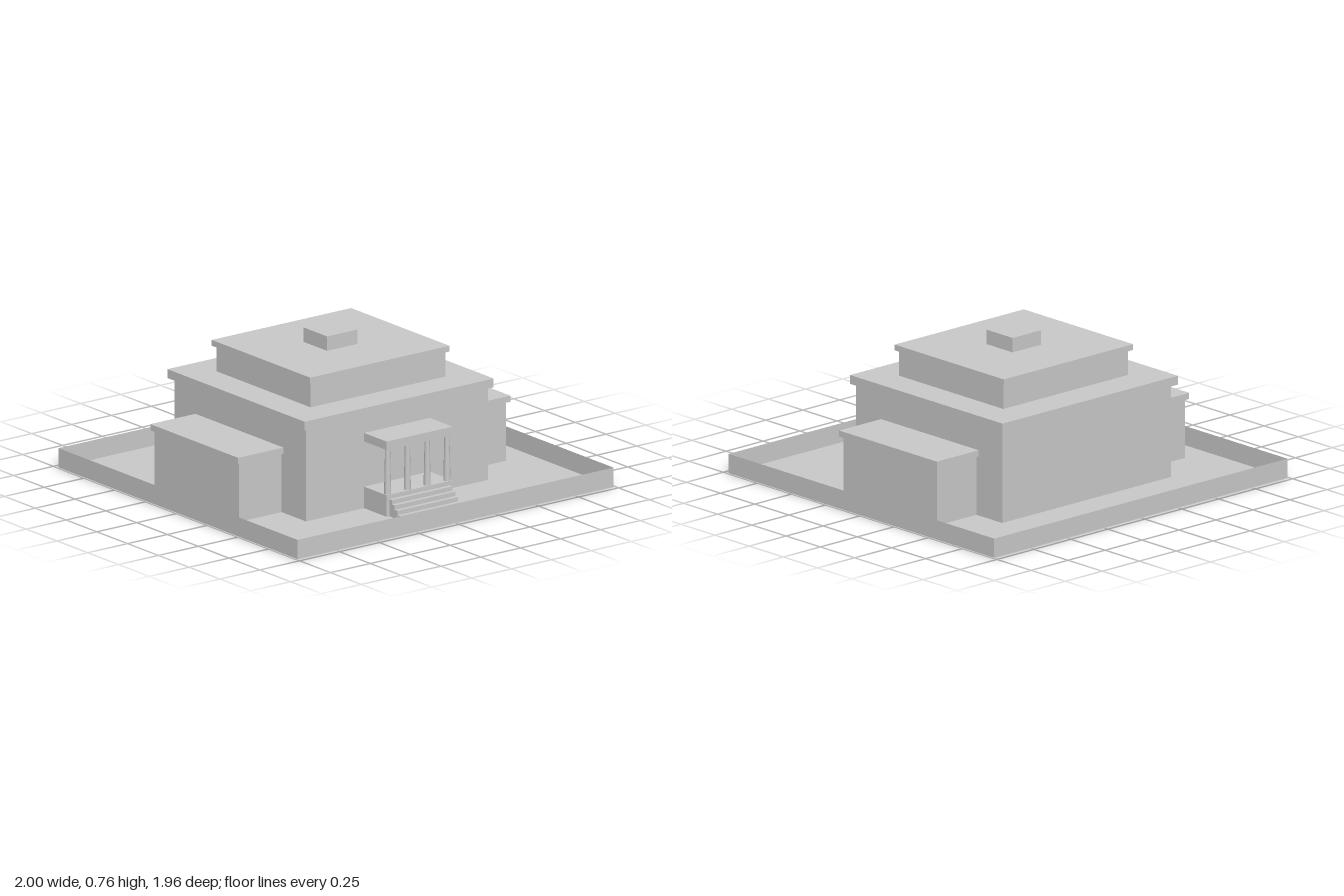
import * as THREE from 'three';

export function createModel() {
  const model = new THREE.Group();
  model.name = 'building';
  const stone = new THREE.MeshStandardMaterial({ color: 0xc8c8c8, side: THREE.DoubleSide });
  stone.name = 'pale grey stone';
  const CX = -0.004; // the building sits slightly off the plot centre

  function add(name, geometry, x, y, z, parent = model) {
    const mesh = new THREE.Mesh(geometry, stone);
    mesh.name = name;
    mesh.position.set(x, y, z);
    parent.add(mesh);
    return mesh;
  }
  // Box given by its extents
  function block(name, x0, x1, y0, y1, z0, z1, parent) {
    return add(name, new THREE.BoxGeometry(x1 - x0, y1 - y0, z1 - z0),
      (x0 + x1) / 2, (y0 + y1) / 2, (z0 + z1) / 2, parent);
  }
  // Box centred on the building axis
  const centred = (name, half, y0, y1, z0, z1) => block(name, CX - half, CX + half, y0, y1, z0, z1);

  // Ground sheet and thin perimeter walls
  add('ground', new THREE.PlaneGeometry(2, 1.964).rotateX(-Math.PI / 2), 0, 0, 0);
  const wallX = 0.991, wallZ = 0.971, wallH = 0.1;
  for (const s of [-1, 1]) {
    const end = new THREE.PlaneGeometry(2 * wallX, wallH);
    const side = new THREE.PlaneGeometry(2 * wallZ, wallH);
    if (s < 0) end.rotateY(Math.PI);
    add(s > 0 ? 'frontWall' : 'backWall', end, 0, wallH / 2, s * wallZ);
    add(s > 0 ? 'leftWall' : 'rightWall', side.rotateY(s * Math.PI / 2), s * wallX, wallH / 2, 0);
  }

  // Stepped main block with overhanging roof slabs
  centred('mainHall', 0.57, 0.001, 0.482, -0.57, 0.5);
  centred('mainRoof', 0.593, 0.482, 0.528, -0.596, 0.518);
  centred('upperStorey', 0.422, 0.528, 0.659, -0.418, 0.346);
  centred('upperRoof', 0.437, 0.659, 0.689, -0.438, 0.361);
  centred('roofBox', 0.096, 0.689, 0.764, -0.134, 0.057);

  // Side wings
  for (const s of [-1, 1]) {
    const wing = new THREE.Group();
    wing.name = s > 0 ? 'leftWing' : 'rightWing';
    model.add(wing);
    const span = (a, b) => [CX + s * a, CX + s * b].sort((p, q) => p - q);
    block('wingHall', ...span(0.57, 0.838), 0.001, 0.308, -0.382, 0.302, wing);
    block('wingRoof', ...span(0.57, 0.853), 0.308, 0.34, -0.398, 0.316, wing);
  }

  // Entrance porch
  centred('porchFloor', 0.206, 0.001, 0.113, 0.5, 0.684);
  centred('porchRoof', 0.206, 0.348, 0.392, 0.5, 0.684);
  const columnH = 0.235;
  for (let i = 0; i < 4; i++) {
    const column = new THREE.CylinderGeometry(0.013, 0.018, columnH, 12);
    add('column', column, CX + (i - 1.5) * 0.124, 0.113 + columnH / 2, 0.665);
  }

  // Stairs down to the ground
  const steps = 4, rise = 0.113 / (steps + 1), tread = 0.022;
  for (let i = 0; i < steps; i++) {
    const z = 0.684 + i * tread;
    centred('step', 0.19, 0.001, 0.113 - (i + 1) * rise, z, z + tread);
  }
  return model;
}
